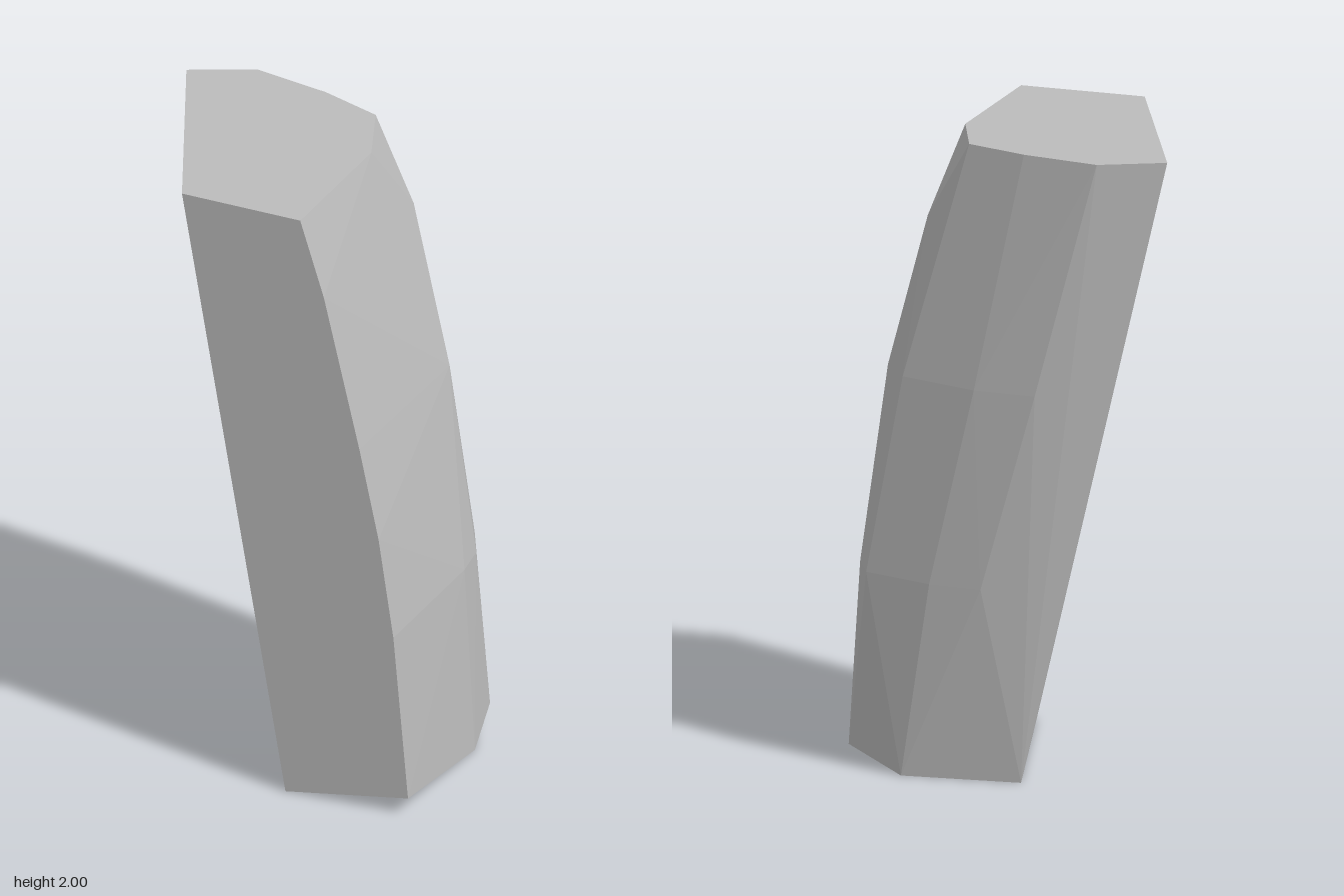
import * as THREE from 'three';
import { ConvexGeometry } from 'three/addons/geometries/ConvexGeometry.js';

// Horizontal cross-sections of the leaning stone: height, then [x, z] corners
const sections = [
  { y: 2, ring: [[-0.545, -0.31], [-0.22, 0.405], [0.18, 0.405], [0.19, -0.08], [0.1, -0.3], [-0.1, -0.365], [-0.35, -0.405]] },
  { y: 1.75, ring: [[0.25, -0.255], [0.26, 0.405]] },
  { y: 1.25, ring: [[0.38, 0.405], [0.395, -0.08], [0.4, -0.195], [0.31, -0.315], [0.05, -0.4], [-0.15, -0.408]] },
  { y: 0.95, ring: [[0.45, -0.08], [0.445, 0.405]] },
  { y: 0.62, ring: [[0.495, 0.405], [0.505, -0.08], [0.49, -0.195], [0.43, -0.31], [0.2, -0.385], [0.03, -0.395]] },
  // Chipped lower corners
  { y: 0.06, ring: [[0.535, 0.385], [0.5, -0.272]] },
  { y: 0, ring: [[-0.075, -0.32], [0.13, 0.405], [0.54, -0.08], [0.3, -0.36]] },
];

export function createModel() {
  const stone = new THREE.MeshStandardMaterial({ color: 0xbcbcbc });
  stone.name = 'grey stone';
  stone.flatShading = true;

  // The convex hull of the sections gives the faceted block
  const points = sections.flatMap(({ y, ring }) => ring.map(([x, z]) => new THREE.Vector3(x, y, z)));
  const pillar = new THREE.Mesh(new ConvexGeometry(points), stone);
  pillar.name = 'stonePillar';

  const group = new THREE.Group();
  group.name = 'leaningStone';
  group.add(pillar);
  return group;
}
